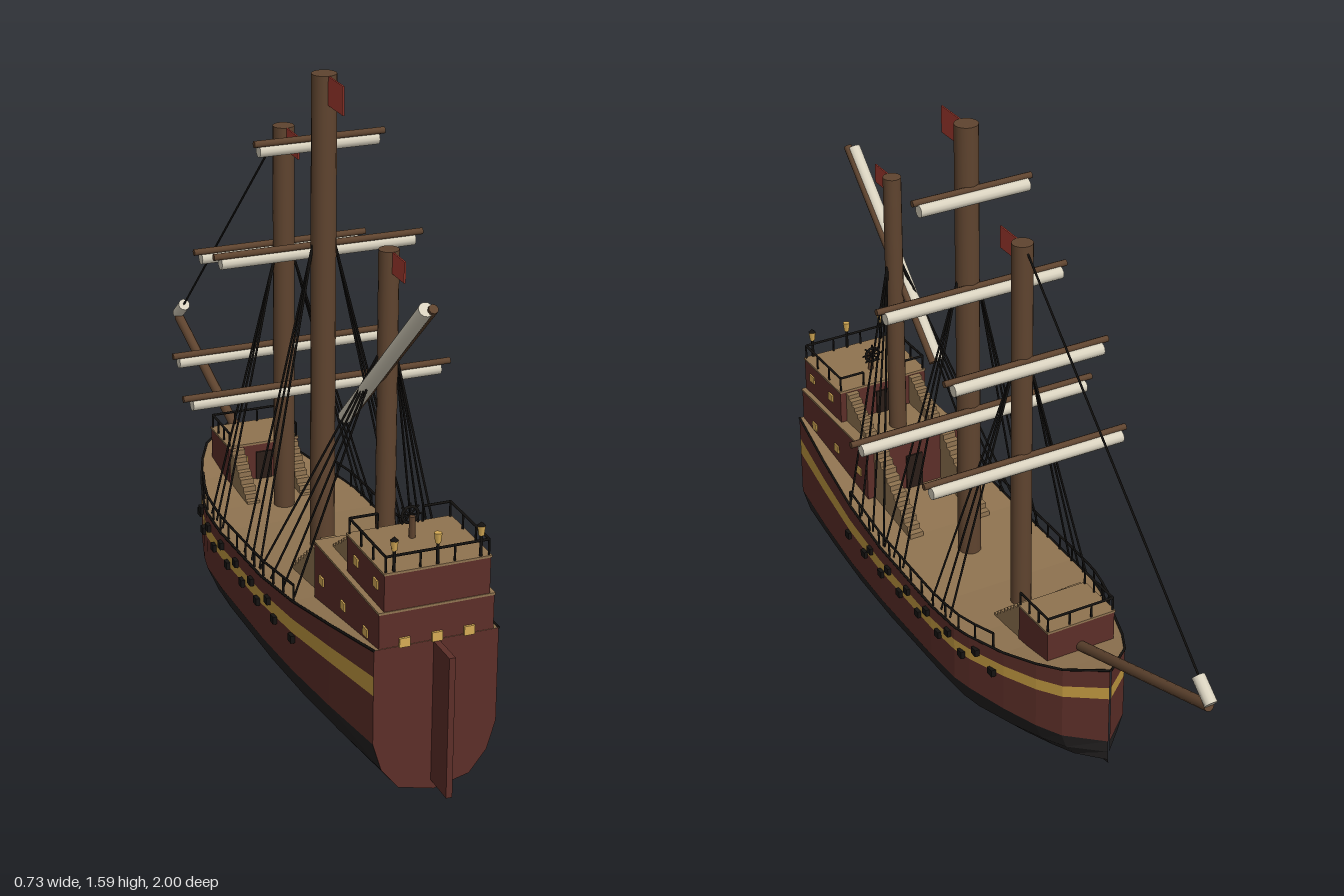
import * as THREE from 'three';

const COLORS = {
  maroon: 0x5c2e28, black: 0x222020, gold: 0xc09840, deck: 0x8f7350, wood: 0x5f442f,
  trim: 0x2a1e18, rope: 0x141210, sail: 0xd9d2bf, flag: 0xa63c30, window: 0xd6ab55,
};
const mats = {};
for (const k in COLORS) mats[k] = new THREE.MeshStandardMaterial({ color: COLORS[k] });
const thin = new THREE.MeshStandardMaterial({ color: COLORS.flag, side: THREE.DoubleSide });
const V = (x, y, z) => new THREE.Vector3(x, y, z);

// Hull stations, stern to bow: z, half width, sheer, band top, band bottom, waterline, keel
const STATIONS = [
  [0.91, 0.16, 0.41, 0.34, 0.29, 0.16, 0.005],
  [0.7, 0.187, 0.38, 0.32, 0.278, 0.158, 0.005],
  [0.5, 0.207, 0.35, 0.3, 0.262, 0.157, 0.005],
  [0.3, 0.217, 0.328, 0.284, 0.25, 0.155, 0.005],
  [0, 0.22, 0.315, 0.274, 0.243, 0.153, 0.005],
  [-0.12, 0.215, 0.317, 0.276, 0.244, 0.152, 0.005],
  [-0.18, 0.203, 0.319, 0.278, 0.246, 0.151, 0.006],
  [-0.3, 0.168, 0.328, 0.286, 0.254, 0.149, 0.027],
  [-0.4, 0.13, 0.343, 0.295, 0.262, 0.147, 0.047],
  [-0.47, 0.093, 0.355, 0.303, 0.27, 0.146, 0.06],
  [-0.55, 0.002, 0.37, 0.315, 0.28, 0.145, 0.075],
];
// Interpolated station at any z
function station(z) {
  let i = 0;
  while (i < STATIONS.length - 2 && STATIONS[i + 1][0] > z) i++;
  const a = STATIONS[i], b = STATIONS[i + 1], t = (z - a[0]) / (b[0] - a[0]);
  return a.map((v, k) => v + (b[k] - v) * t);
}
// Lengthwise lines of the hull, keel to sheer
const low = (fx, fy) => s => [s[1] * fx, s[6] + (s[5] - s[6]) * fy];
const LINES = [low(0, 0), low(0.58, 0.15), low(0.86, 0.52), low(1, 1),
  s => [s[1], s[4]], s => [s[1], s[3]], s => [s[1], s[2]], s => [0, s[2]]];

export function createModel() {
  const ship = new THREE.Group();
  ship.name = 'sailingShip';

  function add(name, geo, mat, x = 0, y = 0, z = 0, parent = ship) {
    const m = new THREE.Mesh(geo, typeof mat === 'string' ? mats[mat] : mat);
    m.name = name;
    m.position.set(x, y, z);
    parent.add(m);
    return m;
  }
  const box = (name, mat, w, h, d, x, y, z) => add(name, new THREE.BoxGeometry(w, h, d), mat, x, y, z);
  function rod(name, mat, a, b, r, sides = 6) {
    const d = b.clone().sub(a), c = a.clone().add(b).multiplyScalar(0.5);
    const m = add(name, new THREE.CylinderGeometry(r, r, d.length(), sides), mat, c.x, c.y, c.z);
    m.quaternion.setFromUnitVectors(V(0, 1, 0), d.normalize());
    return m;
  }
  // Strip of planking between two hull lines, mirrored to both sides
  function strip(name, mat, first, last) {
    const pos = [];
    for (let l = first; l < last; l++) for (let i = 0; i < STATIONS.length - 1; i++) for (const side of [1, -1]) {
      const p = (line, s) => { const [x, y] = LINES[line](s); return [x * side, y, s[0]]; };
      const s = STATIONS[i], t = STATIONS[i + 1];
      const q = [p(l, s), p(l, t), p(l + 1, t), p(l + 1, s)];
      const order = side > 0 ? [0, 1, 2, 0, 2, 3] : [0, 2, 1, 0, 3, 2];
      for (const k of order) pos.push(...q[k]);
    }
    const g = new THREE.BufferGeometry();
    g.setAttribute('position', new THREE.Float32BufferAttribute(pos, 3));
    g.computeVertexNormals();
    add(name, g, mat);
  }
  strip('lowerHull', 'black', 0, 3);
  strip('hullSide', 'maroon', 3, 4);
  strip('hullBand', 'gold', 4, 5);
  strip('upperHull', 'maroon', 5, 6);
  strip('deck', 'deck', 6, 7);

  // Transom and rudder
  const half = LINES.slice(0, 7).map(f => f(STATIONS[0]));
  const outline = [...half, ...half.slice(1).reverse().map(([x, y]) => [-x, y])];
  add('transom', new THREE.ShapeGeometry(new THREE.Shape(outline.map(p => new THREE.Vector2(...p)))), 'maroon', 0, 0, 0.91);
  box('rudder', 'maroon', 0.016, 0.375, 0.09, 0, 0.218, 0.955);

  // Cabins with plank tops
  function cabin(name, hw, y0, y1, z0, z1) {
    box(name, 'maroon', hw * 2, y1 - y0, z1 - z0, 0, (y0 + y1) / 2, (z0 + z1) / 2);
    box(name + 'Top', 'deck', hw * 2 + 0.004, 0.006, z1 - z0 + 0.004, 0, y1, (z0 + z1) / 2);
  }
  cabin('aftCabin', 0.147, 0.3, 0.502, 0.5, 0.908);
  cabin('poopCabin', 0.135, 0.5, 0.602, 0.68, 0.908);
  cabin('foreCabin', 0.1, 0.3, 0.43, -0.405, -0.26);
  box('aftDoor', 'trim', 0.05, 0.11, 0.008, 0, 0.4, 0.499);
  box('foreDoor', 'trim', 0.045, 0.08, 0.008, 0, 0.365, -0.259);
  box('poopDoor', 'trim', 0.045, 0.07, 0.008, 0, 0.54, 0.679);

  // Windows
  for (const x of [-0.083, 0, 0.083]) box('sternWindow', 'window', 0.027, 0.024, 0.008, x, 0.419, 0.91);
  for (const s of [1, -1]) {
    for (const z of [0.83, 0.69, 0.55]) box('aftWindow', 'window', 0.008, 0.022, 0.026, s * 0.147, 0.418, z);
    for (const z of [0.86, 0.74]) box('poopWindow', 'window', 0.008, 0.022, 0.026, s * 0.135, 0.558, z);
    box('foreCabinWindow', 'window', 0.026, 0.022, 0.008, s * 0.06, 0.385, -0.26);
  }

  // Stairs: solid steps rising from z0 to z1
  function stairs(x, w, z0, z1, y0, y1, n) {
    const d = (z1 - z0) / n;
    for (let i = 0; i < n; i++) {
      const h = (y1 - y0) * (i + 1) / n;
      for (const s of [1, -1]) box('stairStep', 'deck', w, h, Math.abs(d), s * x, y0 + h / 2, z0 + d * (i + 0.5));
    }
  }
  stairs(0.105, 0.04, 0.27, 0.5, 0.31, 0.5, 12);
  stairs(0.1, 0.034, 0.545, 0.68, 0.5, 0.595, 8);
  stairs(0.078, 0.036, -0.125, -0.26, 0.31, 0.425, 8);

  // Railings: posts and a top rail along a path of feet
  function railing(name, feet, h, posts) {
    feet.forEach((p, i) => {
      const top = p.clone().setY(p.y + h);
      if (posts) rod(name + 'Post', 'rope', p, top, 0.003, 5);
      if (i) rod(name, 'rope', feet[i - 1].clone().setY(feet[i - 1].y + h), top, 0.0035, 5);
    });
  }
  function deckRail(hw, y, z0, z1, h, closed) {
    const ends = [V(hw, y, z0), V(hw, y, z1), V(-hw, y, z1), V(-hw, y, z0)];
    const feet = [ends[0]];
    for (let i = 1; i < 4; i++) for (let k = 1; k <= 3; k++) feet.push(ends[i - 1].clone().lerp(ends[i], k / 3));
    if (closed) feet.push(V(hw * 0.45, y, z0).setX(-hw * 0.45));
    railing('cabinRail', feet, h, true);
    if (closed) railing('cabinRail', [V(hw, y, z0), V(hw * 0.45, y, z0)], h, true);
  }
  deckRail(0.131, 0.602, 0.684, 0.904, 0.043, true);
  deckRail(0.097, 0.43, -0.264, -0.401, 0.04, false);
  for (const s of [1, -1]) {
    const feet = [], edge = [];
    for (let z = 0.5; z > -0.27; z -= 0.0633) { const t = station(z); feet.push(V(s * (t[1] - 0.004), t[2], z)); }
    railing('mainDeckRail', feet, 0.043, true);
    for (const t of STATIONS) edge.push(V(s * t[1], t[2], t[0]));
    railing('sheerTrim', edge, 0, false);
    // Staggered gun ports
    const port = (y, z) => box('gunPort', 'rope', 0.02, 0.02, 0.022, s * station(z)[1], y, z);
    for (let i = 0; i < 8; i++) port(0.25, 0.505 - i * 0.1095);
    for (let i = 0; i < 6; i++) port(0.285, 0.355 - i * 0.112);
    // Stern lanterns
    rod('lanternPost', 'rope', V(s * 0.11, 0.6, 0.904), V(s * 0.11, 0.66, 0.904), 0.004);
    add('lantern', new THREE.CylinderGeometry(0.01, 0.007, 0.026, 6), 'window', s * 0.11, 0.672, 0.904);
    add('lanternCap', new THREE.ConeGeometry(0.011, 0.01, 6), 'rope', s * 0.11, 0.689, 0.904);
  }
  rod('lanternPost', 'rope', V(0, 0.6, 0.904), V(0, 0.66, 0.904), 0.004);
  add('lantern', new THREE.CylinderGeometry(0.01, 0.007, 0.026, 6), 'window', 0, 0.672, 0.904);

  // Steering wheel
  rod('wheelStand', 'wood', V(0, 0.6, 0.755), V(0, 0.66, 0.755), 0.008);
  add('steeringWheel', new THREE.TorusGeometry(0.021, 0.004, 6, 16), 'rope', 0, 0.658, 0.742);
  for (let i = 0; i < 4; i++) {
    const d = V(Math.cos(i * Math.PI / 4), Math.sin(i * Math.PI / 4), 0).multiplyScalar(0.031), c = V(0, 0.658, 0.742);
    rod('wheelSpoke', 'rope', c.clone().sub(d), c.clone().add(d), 0.0025, 5);
  }

  // Masts with flags, yards [y, half length, sail half length] and shrouds
  function mast(name, z, r, top, flagL, flagH, yards, shroudY, shroudZ) {
    rod(name, 'wood', V(0, 0.3, z), V(0, top, z), r, 16);
    const flag = box(name + 'Flag', thin, 0.004, flagH, flagL, 0, top - flagH / 2, z + r + flagL / 2);
    flag.name = name + 'Flag';
    for (const [y, hw, sw] of yards) {
      rod('yard', 'wood', V(-hw, y, z - r + 0.004), V(hw, y, z - r + 0.004), 0.009, 8);
      rod('furledSail', 'sail', V(-sw, y - 0.02, z - r - 0.004), V(sw, y - 0.02, z - r - 0.004), 0.017, 12);
    }
    for (const s of [1, -1]) for (const sz of shroudZ) {
      const t = station(sz);
      rod('shroud', 'rope', V(s * r * 0.8, shroudY, z), V(s * (t[1] - 0.006), t[2] + 0.01, sz), 0.003, 5);
    }
  }
  mast('mainMast', 0.18, 0.032, 1.59, 0.095, 0.073,
    [[0.776, 0.365, 0.34], [1.142, 0.28, 0.26], [1.42, 0.172, 0.158]], 1.17, [0.28, 0.225, 0.17]);
  mast('foreMast', -0.1, 0.028, 1.38, 0.08, 0.06,
    [[0.778, 0.3, 0.283], [1.058, 0.238, 0.217]], 1.04, [0.005, -0.045, -0.09]);
  mast('mizzenMast', 0.593, 0.025, 1.275, 0.07, 0.053, [], 1.02, [0.5, 0.43, 0.355, 0.285]);

  // Slanted mizzen yard
  rod('slantedYard', 'wood', V(-0.022, 1.238, 0.9), V(-0.022, 0.785, 0.415), 0.012, 8);
  rod('slantedSail', 'sail', V(-0.036, 1.235, 0.89), V(-0.036, 0.787, 0.42), 0.018, 12);

  // Bowsprit, its furled sail and the forestay
  rod('bowsprit', 'wood', V(0, 0.345, -0.37), V(0, 0.54, -0.98), 0.014, 10);
  rod('bowspritSail', 'sail', V(0, 0.597, -0.93), V(0, 0.55, -0.988), 0.017, 12);
  rod('forestay', 'rope', V(0, 1.365, -0.12), V(0, 0.59, -0.94), 0.003, 5);
  return ship;
}
